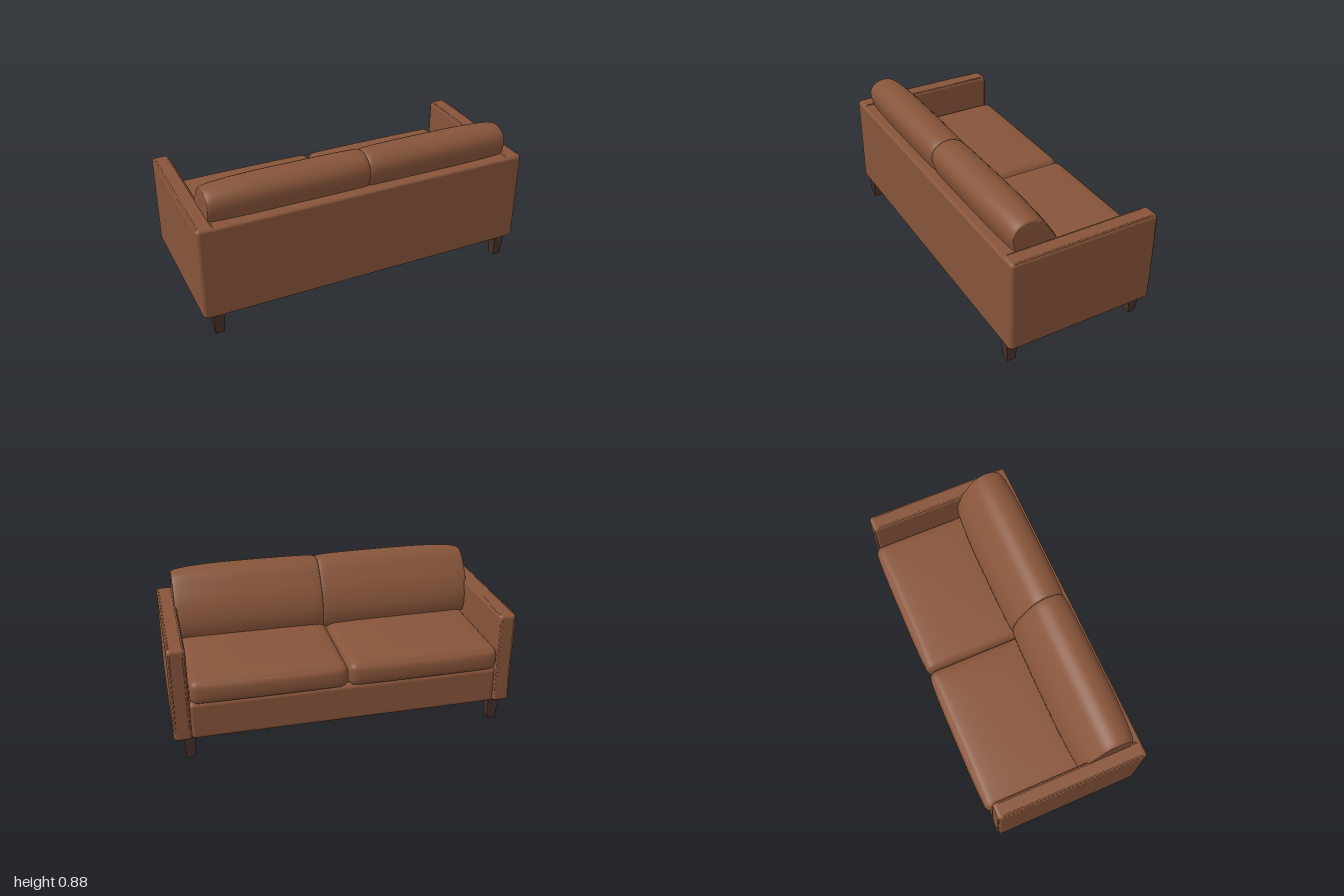
import * as THREE from 'three';
import { mergeVertices } from 'three/addons/utils/BufferGeometryUtils.js';
import { RoundedBoxGeometry } from 'three/addons/geometries/RoundedBoxGeometry.js';

const leather = new THREE.MeshStandardMaterial({ color: 0x87543a });
leather.name = 'brownLeather';
const wood = new THREE.MeshStandardMaterial({ color: 0x47312a });
wood.name = 'darkWood';

function add(group, name, geometry, material, x = 0, y = 0, z = 0) {
  const mesh = new THREE.Mesh(geometry, material);
  mesh.name = name;
  mesh.position.set(x, y, z);
  group.add(mesh);
  return mesh;
}

// Rounded block given by its limits
function block(group, name, [x0, x1], [y0, y1], [z0, z1], r) {
  const g = new RoundedBoxGeometry(x1 - x0, y1 - y0, z1 - z0, 4, r);
  return add(group, name, g, leather, (x0 + x1) / 2, (y0 + y1) / 2, (z0 + z1) / 2);
}

// Rounded box whose faces swell toward their middles
function puffedBox(w, h, d, r, puff) {
  let g = new THREE.BoxGeometry(2, 2, 2, 28, 12, 28);
  g.deleteAttribute('uv');
  g.deleteAttribute('normal');
  g = mergeVertices(g);
  const half = new THREE.Vector3(w / 2, h / 2, d / 2);
  const inner = half.clone().subScalar(r);
  const low = inner.clone().negate();
  const p = g.attributes.position;
  const v = new THREE.Vector3(), c = new THREE.Vector3();
  for (let i = 0; i < p.count; i++) {
    v.fromBufferAttribute(p, i);
    // crowd the grid toward the edges so that the rounding is smooth
    v.set(...v.toArray().map(a => Math.sin(a * Math.PI / 2)));
    const [a, b, e] = v.toArray();
    v.multiply(half);
    c.copy(v).clamp(low, inner);
    v.sub(c).setLength(r).add(c);
    v.y += puff * b * (1 - a ** 4) * (1 - e ** 4);
    v.z += puff * 0.6 * e * (1 - a ** 4) * (1 - b * b);
    p.setXYZ(i, v.x, v.y, v.z);
  }
  g.computeVertexNormals();
  return g;
}

// Side profile of a leaning back cushion, as [z, y]
const backProfile = [
  [0.12, 0.47], [0.09, 0.57], [0.122, 0.69], [0.185, 0.79], [0.24, 0.853],
  [0.3, 0.876], [0.37, 0.865], [0.412, 0.83], [0.425, 0.78], [0.4, 0.68],
  [0.36, 0.56], [0.3, 0.47],
];

// Loft the profile across x, tapering it more at the end by the arm
function backCushion(x0, x1) {
  const curve = new THREE.CatmullRomCurve3(
    backProfile.map(([z, y]) => new THREE.Vector3(0, y, z)), true, 'centripetal');
  const ring = curve.getSpacedPoints(56).slice(0, 56);
  const n = ring.length, steps = 36, cz = 0.27, cy = 0.66;
  const pos = [], idx = [];
  const section = (x, s) => {
    for (const q of ring) pos.push(x, cy + (q.y - cy) * s, cz + (q.z - cz) * s);
  };
  for (let i = 0; i <= steps; i++) {
    const t = -Math.cos(Math.PI * i / steps);
    const outer = Math.sign(x0 + x1) * t > 0;
    const taper = 1 - (outer ? 0.1 : 0.025) * Math.abs(t) ** 3;
    const round = 0.94 + 0.06 * Math.pow(Math.max(0, 1 - t ** 20), 0.5);
    section((x0 + x1) / 2 + t * (x1 - x0) / 2, taper * round);
  }
  for (let i = 0; i < steps; i++) {
    for (let j = 0; j < n; j++) {
      const a = i * n + j, b = i * n + (j + 1) % n;
      idx.push(a, b, a + n, b, b + n, a + n);
    }
  }
  // end caps
  const first = pos.length / 3;
  pos.push(x0, cy, cz, x1, cy, cz);
  for (let j = 0; j < n; j++) {
    const k = (j + 1) % n;
    idx.push(first, k, j, first + 1, steps * n + j, steps * n + k);
  }
  const g = new THREE.BufferGeometry();
  g.setAttribute('position', new THREE.Float32BufferAttribute(pos, 3));
  g.setIndex(idx);
  // keep the winding outward
  const a = new THREE.Vector3(...pos.slice(0, 3));
  const area = ring.reduce((s, q, j) => {
    const r = ring[(j + 1) % n];
    return s + q.z * r.y - r.z * q.y;
  }, 0);
  if (area > 0 === a.x < x1) {
    for (let i = 0; i < idx.length; i += 3) [idx[i], idx[i + 1]] = [idx[i + 1], idx[i]];
    g.setIndex(idx);
  }
  g.computeVertexNormals();
  return g;
}

// Seam cord up the front edge and along the top edge of an arm
function armPiping(x) {
  const path = new THREE.CatmullRomCurve3([
    [0.15, -0.422], [0.3, -0.426], [0.5, -0.426], [0.66, -0.426], [0.682, -0.42],
    [0.689, -0.4], [0.69, -0.2], [0.69, 0.1], [0.69, 0.44],
  ].map(([y, z]) => new THREE.Vector3(x, y, z)), false, 'centripetal');
  return new THREE.TubeGeometry(path, 60, 0.006, 6);
}

export function createModel() {
  const sofa = new THREE.Group();
  sofa.name = 'sofa';

  // Frame: back panel, front rail, side and rear sills, recessed underside
  block(sofa, 'backPanel', [-0.985, 0.985], [0.13, 0.69], [0.37, 0.465], 0.015);
  block(sofa, 'frontRail', [-0.9, 0.9], [0.13, 0.355], [-0.425, -0.33], 0.025);
  block(sofa, 'seatDeck', [-0.91, 0.91], [0.15, 0.37], [-0.38, 0.4], 0.01);

  for (const s of [-1, 1]) {
    const side = s > 0 ? 'left' : 'right';

    // Arm with its piping
    const arm = new THREE.Group();
    arm.name = side + 'Arm';
    sofa.add(arm);
    block(arm, 'armPanel', s > 0 ? [0.895, 0.998] : [-0.998, -0.895],
      [0.13, 0.695], [-0.43, 0.465], 0.022);
    for (const x of [0.908, 0.985]) add(arm, 'armPiping', armPiping(s * x), leather);

    // Seat and back cushions
    add(sofa, side + 'SeatCushion', puffedBox(0.892, 0.142, 0.66, 0.045, 0.016),
      leather, s * 0.448, 0.428, -0.126);
    add(sofa, side + 'BackCushion',
      s > 0 ? backCushion(0.02, 0.908) : backCushion(-0.912, 0.02), leather);

    // Tapered square legs
    for (const z of [-0.375, 0.42]) {
      const g = new THREE.CylinderGeometry(0.07 / Math.SQRT2, 0.048 / Math.SQRT2, 0.145, 4, 1);
      g.rotateY(Math.PI / 4);
      const leg = new THREE.Mesh(g.toNonIndexed(), wood);
      leg.geometry.computeVertexNormals();
      leg.name = side + (z < 0 ? 'FrontLeg' : 'RearLeg');
      leg.position.set(s * 0.91, 0.0725, z);
      sofa.add(leg);
    }
  }
  return sofa;
}
